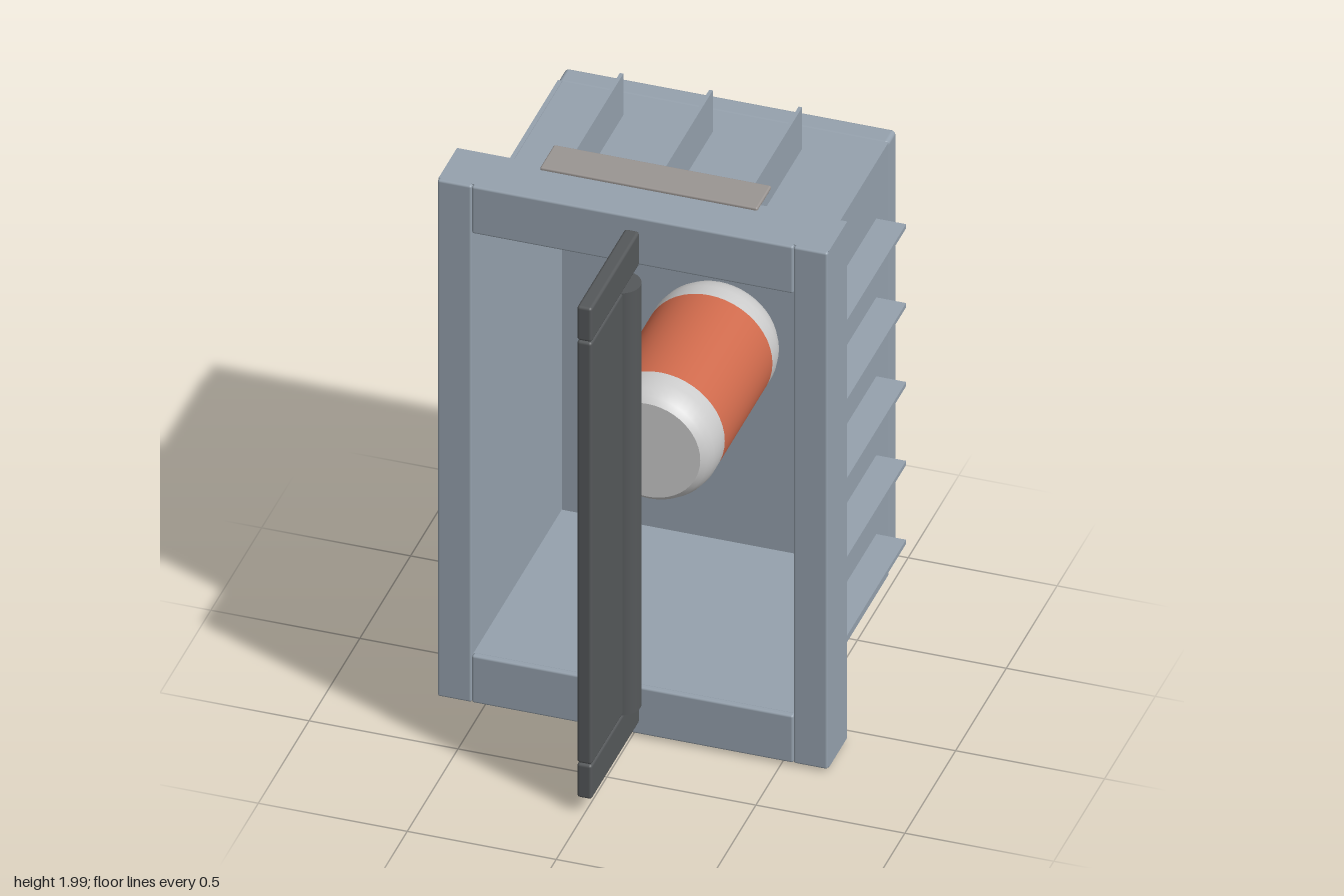
import * as THREE from 'three';
import { RoundedBoxGeometry } from 'three/addons/geometries/RoundedBoxGeometry.js';

const mat = (color) => new THREE.MeshStandardMaterial({ color });

export function createModel() {
  const model = new THREE.Group();
  const steel = mat(0x95a1ad), dark = mat(0x55585a), plate = mat(0x9a9592);
  const grey = mat(0xcccccc), orange = mat(0xcf6a4c);

  // Box given by its min and max corners, with optional edge rounding
  function box(name, x, y, z, material = steel, radius = 0) {
    const [w, h, d] = [x, y, z].map(([a, b]) => b - a);
    const geo = radius ? new RoundedBoxGeometry(w, h, d, 2, radius) : new THREE.BoxGeometry(w, h, d);
    const mesh = new THREE.Mesh(geo, material);
    mesh.position.set((x[0] + x[1]) / 2, (y[0] + y[1]) / 2, (z[0] + z[1]) / 2);
    mesh.name = name;
    model.add(mesh);
    return mesh;
  }
  const span = (s, a, b) => (s > 0 ? [a, b] : [-b, -a]);
  const spanY = (s, a, b) => span(s, a, b).map((v) => v + 1.005);

  // Housing walls, open to the front, closed by a rounded back cover
  for (const s of [1, -1]) {
    box('housingSideWall', span(s, 0.54, 0.555), [0.18, 1.83], [-0.645, 0.235]);
    box('housingEndWall', [-0.54, 0.54], spanY(s, 0.808, 0.823), [-0.645, 0.235]);
  }
  box('backCover', [-0.555, 0.555], [0.18, 1.83], [-0.725, -0.64], steel, 0.015);

  // Front frame: four face bars and the lip folded back around them
  for (const s of [1, -1]) {
    box('frameSideBar', span(s, 0.54, 0.655), [0.02, 1.99], [0.225, 0.25], steel, 0.008);
    box('frameEndBar', [-0.54, 0.54], spanY(s, 0.805, 0.985), [0.225, 0.25], steel, 0.008);
    box('frameSideLip', span(s, 0.638, 0.655), [0.02, 1.99], [0.055, 0.235]);
    box('frameEndLip', [-0.64, 0.64], spanY(s, 0.968, 0.985), [0.055, 0.235]);
  }

  // Cooling fins on the four outer sides
  for (const s of [1, -1]) {
    for (let i = 0; i < 5; i++) {
      const y = 0.403 + i * 0.301;
      box('sideFin', span(s, 0.55, 0.655), [y - 0.008, y + 0.008], [-0.525, 0.06]);
    }
    for (const x of [-0.3, 0, 0.3])
      box('endFin', [x - 0.006, x + 0.006], spanY(s, 0.815, 0.981), [-0.525, 0.06]);
  }

  // Thin plates lying on the top and bottom of the frame
  for (const s of [1, -1])
    box('mountingPlate', [-0.365, 0.365], spanY(s, 0.98, 0.995), [-0.05, 0.09], plate, 0.006);

  // Handle: round rod, flat blade and two end brackets
  const rod = new THREE.Mesh(new THREE.CylinderGeometry(0.065, 0.065, 1.61, 32), dark);
  rod.position.set(0, 1.005, 0.36);
  rod.name = 'handleRod';
  model.add(rod);
  box('handleBlade', [-0.025, 0.025], [0.2, 1.81], [0.36, 0.725], dark, 0.01);
  for (const s of [1, -1])
    box('handleBracket', [-0.025, 0.025], spanY(s, 0.807, 0.937), [0.25, 0.725], dark, 0.01);

  // Canister inside the housing, lying along z with rounded caps
  const canister = new THREE.Group();
  canister.name = 'canister';
  canister.position.set(0, 1.005, -0.265);
  const body = new THREE.Mesh(new THREE.CylinderGeometry(0.215, 0.215, 0.47, 48, 1, true), orange);
  body.rotation.x = Math.PI / 2;
  body.name = 'canisterBody';
  canister.add(body);
  const profile = [[0.215, 0], [0.215, 0.05], [0.208, 0.085], [0.195, 0.112], [0.177, 0.13]]
    .map(([r, h]) => new THREE.Vector2(r, h));
  for (const s of [1, -1]) {
    const cap = new THREE.Group();
    cap.name = 'canisterCap';
    const rim = new THREE.Mesh(new THREE.LatheGeometry(profile, 48), grey);
    rim.name = 'capRim';
    const face = new THREE.Mesh(new THREE.CircleGeometry(0.177, 48), grey);
    face.rotation.x = -Math.PI / 2;
    face.position.y = 0.13;
    face.name = 'capFace';
    cap.add(rim, face);
    cap.rotation.x = s * Math.PI / 2;
    cap.position.z = s * 0.235;
    canister.add(cap);
  }
  model.add(canister);
  return model;
}
